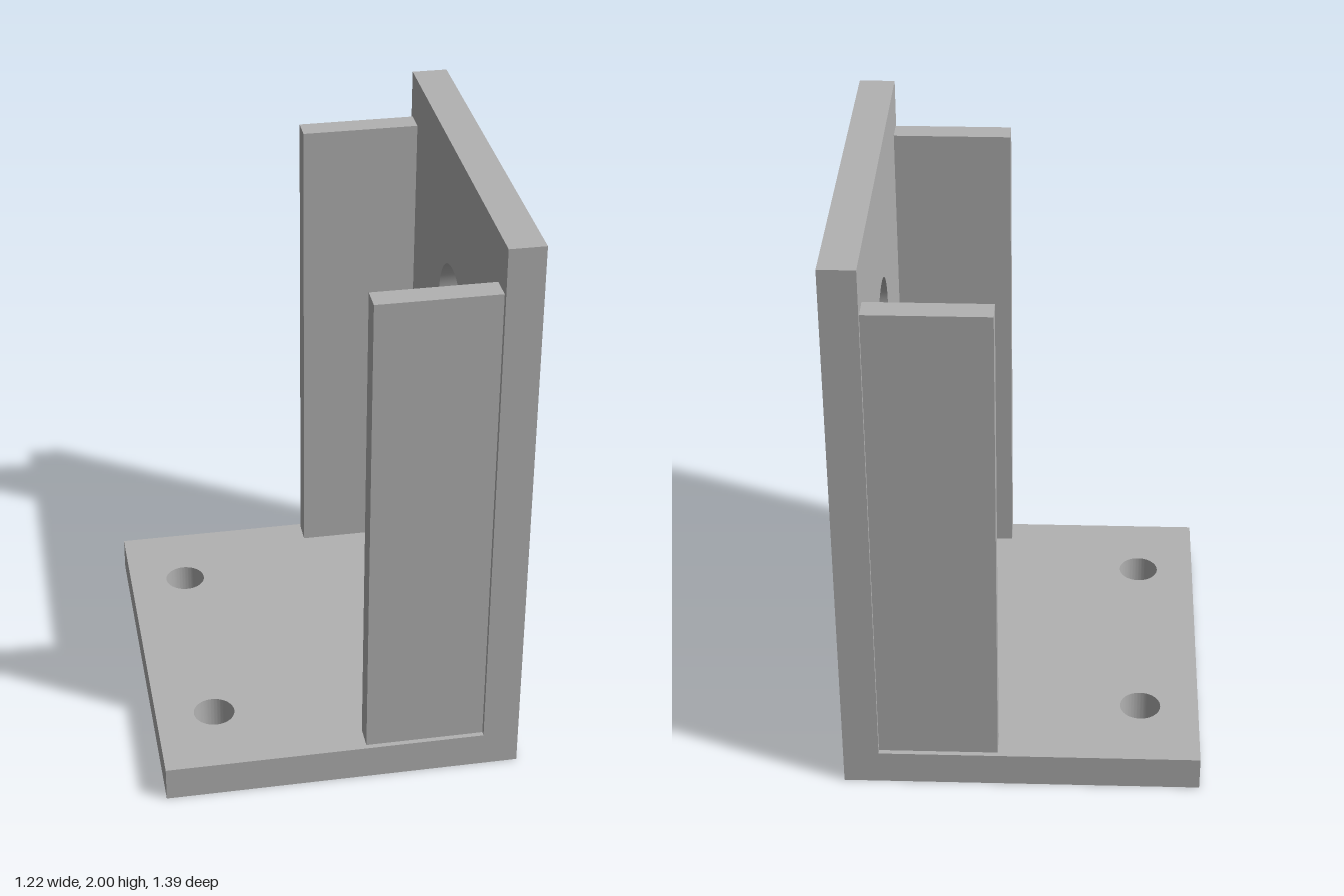
import * as THREE from 'three';
import { toCreasedNormals } from 'three/addons/utils/BufferGeometryUtils.js';

const HALF_X = 0.612, HALF_Z = 0.694, HEIGHT = 2, THICK = 0.122;
const INNER_X = HALF_X - THICK; // inner face of the upright plate

// Flat rectangular plate with round holes, extruded along +z
function drilledPlate(x0, y0, x1, y1, holes) {
  const shape = new THREE.Shape([
    new THREE.Vector2(x0, y0), new THREE.Vector2(x1, y0),
    new THREE.Vector2(x1, y1), new THREE.Vector2(x0, y1),
  ]);
  for (const [x, y, r] of holes) {
    shape.holes.push(new THREE.Path().absarc(x, y, r, 0, Math.PI * 2, true));
  }
  const geo = new THREE.ExtrudeGeometry(shape, { depth: THICK, bevelEnabled: false, curveSegments: 40 });
  return toCreasedNormals(geo, Math.PI / 6);
}

export function createModel() {
  const group = new THREE.Group();
  group.name = 'mountingBracket';
  const metal = new THREE.MeshStandardMaterial({ color: 0xb2b2b2 });
  metal.name = 'grey metal';

  const add = (name, geometry) => {
    const mesh = new THREE.Mesh(geometry, metal);
    mesh.name = name;
    group.add(mesh);
    return mesh;
  };

  // Base plate with two screw holes
  const base = drilledPlate(-HALF_X, -HALF_Z, INNER_X, HALF_Z, [[-0.408, 0.408, 0.071], [-0.408, -0.408, 0.071]]);
  add('basePlate', base.rotateX(-Math.PI / 2));

  // Upright plate with one large hole
  const upright = drilledPlate(-HALF_Z, 0, HALF_Z, HEIGHT, [[0, 1.39, 0.184]]);
  add('uprightPlate', upright.rotateY(Math.PI / 2).translate(INNER_X, 0, 0));

  // Side ribs, set slightly in from the plate edges
  const ribStart = 0.082, ribTop = 1.837;
  for (const side of [1, -1]) {
    const rib = add(side > 0 ? 'frontRib' : 'backRib',
      new THREE.BoxGeometry(INNER_X - ribStart, ribTop - THICK, 0.082));
    rib.position.set((INNER_X + ribStart) / 2, (ribTop + THICK) / 2, side * 0.635);
  }
  return group;
}
